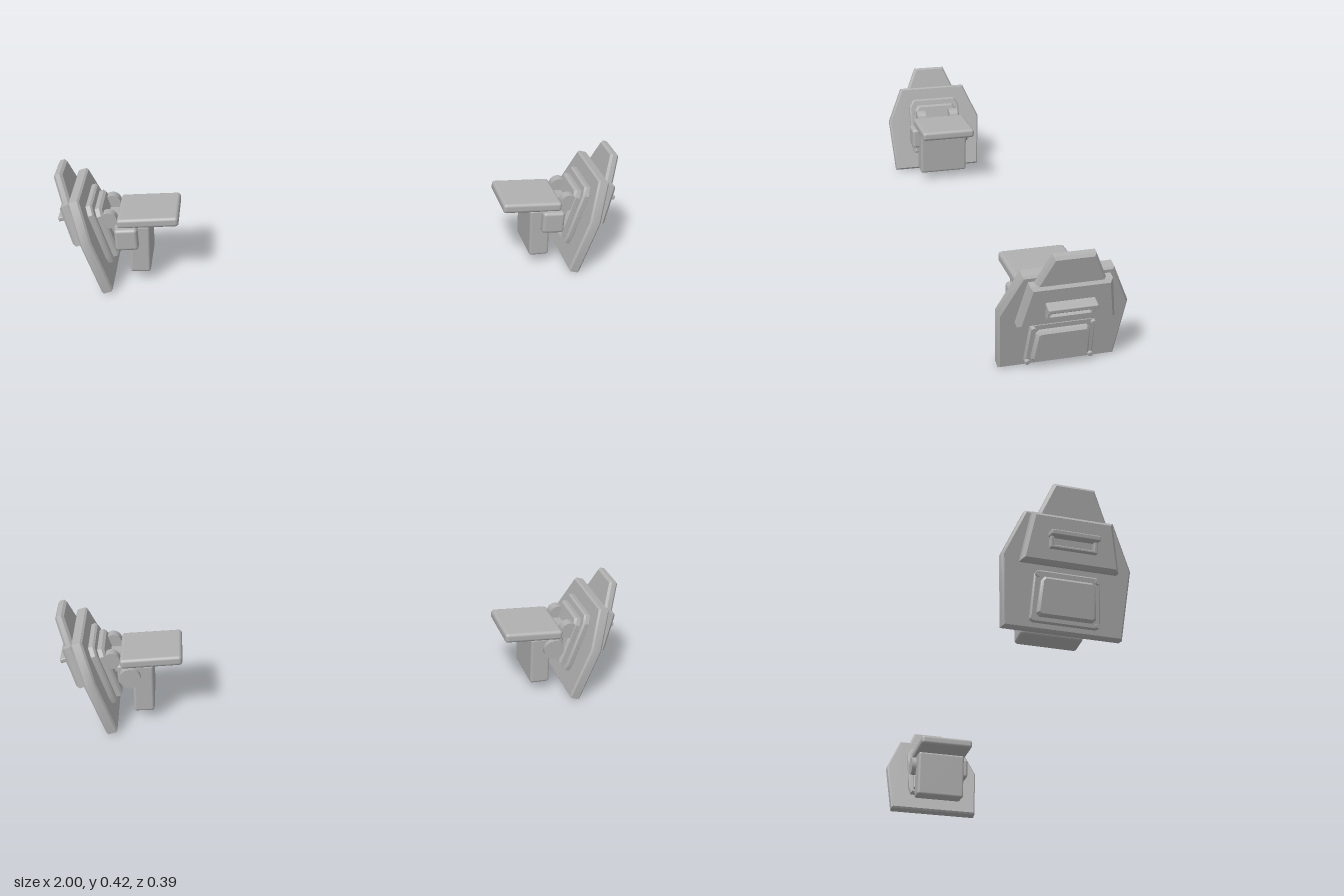
import * as THREE from 'three';
import { toCreasedNormals } from 'three/addons/utils/BufferGeometryUtils.js';
import { RoundedBoxGeometry } from 'three/addons/geometries/RoundedBoxGeometry.js';

const grey = new THREE.MeshStandardMaterial({ color: 0xb0b0b0 });

function add(parent, name, geometry, x = 0, y = 0, z = 0) {
  const mesh = new THREE.Mesh(geometry, grey);
  mesh.name = name;
  mesh.position.set(x, y, z);
  parent.add(mesh);
  return mesh;
}

// Symmetric outline given as [halfWidth, height] from bottom to top
function outline(half) {
  const right = half.map(([w, h]) => new THREE.Vector2(w, h));
  const left = half.map(([w, h]) => new THREE.Vector2(-w, h)).reverse();
  return [...right, ...left];
}

// Plate lying in the z-y plane, from x0 to x1, chamfered on its rim
function plate(half, x0, x1, bevel, hole) {
  const shape = new THREE.Shape(outline(half));
  if (hole) shape.holes.push(new THREE.Path(outline(hole).reverse()));
  const g = new THREE.ExtrudeGeometry(shape, {
    depth: x1 - x0 - 2 * bevel, bevelEnabled: bevel > 0, bevelThickness: bevel,
    bevelSize: bevel, bevelOffset: -bevel, bevelSegments: 1,
  });
  g.rotateY(Math.PI / 2).translate(x0 + bevel, 0, 0);
  return toCreasedNormals(g, 0.5);
}

const box = (w, h, d, r) => new RoundedBoxGeometry(w, h, d, 3, r);

// One shoulder unit facing +x; front is the sign of z that faces forward
function shoulderUnit(front) {
  const unit = new THREE.Group();

  // Tilted armour shield
  const shield = new THREE.Group();
  shield.name = 'shield';
  shield.position.set(0.82, 0.01, 0);
  shield.rotation.z = -THREE.MathUtils.degToRad(15);
  unit.add(shield);

  add(shield, 'mainPlate', plate([[0.181, 0], [0.197, 0.212], [0.136, 0.35]], 0, 0.04, 0.006));
  add(shield, 'upperTongue', plate([[0.13, 0.25], [0.112, 0.318], [0.062, 0.434]], 0.038, 0.07, 0.008));
  add(shield, 'upperPlate', plate([[0.148, 0.19], [0.122, 0.338]], 0.036, 0.078, 0.01));

  // Slotted vent with a hood
  add(shield, 'ventFrame', plate([[0.071, 0.232], [0.071, 0.276]], 0.07, 0.095, 0.002,
    [[0.061, 0.24], [0.061, 0.268]]));
  add(shield, 'ventHood', box(0.043, 0.016, 0.148, 0.004), 0.09, 0.273);

  // Lower access panel with corner bolts
  add(shield, 'panelFrame', plate([[0.096, 0.02], [0.106, 0.03], [0.1, 0.162], [0.09, 0.174]], 0.036, 0.052, 0.004));
  add(shield, 'panelCover', plate([[0.08, 0.036], [0.089, 0.046], [0.082, 0.142], [0.072, 0.153]], 0.045, 0.068, 0.007));
  for (const s of [-1, 1]) {
    for (const [z, y] of [[0.098, 0.03], [0.091, 0.16]]) {
      const bolt = add(shield, 'panelBolt', new THREE.CylinderGeometry(0.008, 0.008, 0.022, 16), 0.05, y, s * z);
      bolt.rotation.z = Math.PI / 2;
    }
  }

  // Inner mounting block
  add(shield, 'backPlate', plate([[0.1, 0.07], [0.108, 0.1], [0.108, 0.27], [0.09, 0.3]], -0.022, 0.005, 0.006));
  add(shield, 'mountBlock', plate([[0.09, 0.085], [0.09, 0.25], [0.075, 0.275]], -0.046, -0.015, 0.008));

  // Hinge linking the shield with the arm
  for (const s of [-1, 1]) {
    const knuckle = add(unit, 'hingeKnuckle', new THREE.CylinderGeometry(0.03, 0.03, 0.036, 24), 0.825, 0.24, s * 0.07);
    knuckle.rotation.x = Math.PI / 2;
  }
  add(unit, 'hingeArm', box(0.09, 0.06, 0.1, 0.01), 0.8, 0.2);

  // Arm block, shoulder cap, front box and rear disc
  const block = add(unit, 'armBlock', box(0.072, 0.185, 0.196, 0.01), 0.723, 0.127);
  block.rotation.z = 0.06;
  add(unit, 'shoulderCap', box(0.215, 0.036, 0.216, 0.012), 0.688, 0.233);
  add(unit, 'frontBox', box(0.08, 0.082, 0.06, 0.012), 0.765, 0.178, front * 0.095);
  add(unit, 'pivotBase', box(0.07, 0.075, 0.16, 0.01), 0.775, 0.178);
  const disc = add(unit, 'rearDisc', new THREE.CylinderGeometry(0.037, 0.037, 0.05, 28), 0.765, 0.18, -front * 0.091);
  disc.rotation.x = Math.PI / 2;
  return unit;
}

export function createModel() {
  const model = new THREE.Group();
  model.name = 'shoulderArmour';
  const left = shoulderUnit(1);
  left.name = 'leftShoulder';
  // Turned half round, so its front lies on the other side
  const right = shoulderUnit(-1);
  right.name = 'rightShoulder';
  right.rotation.y = Math.PI;
  model.add(left, right);
  return model;
}
